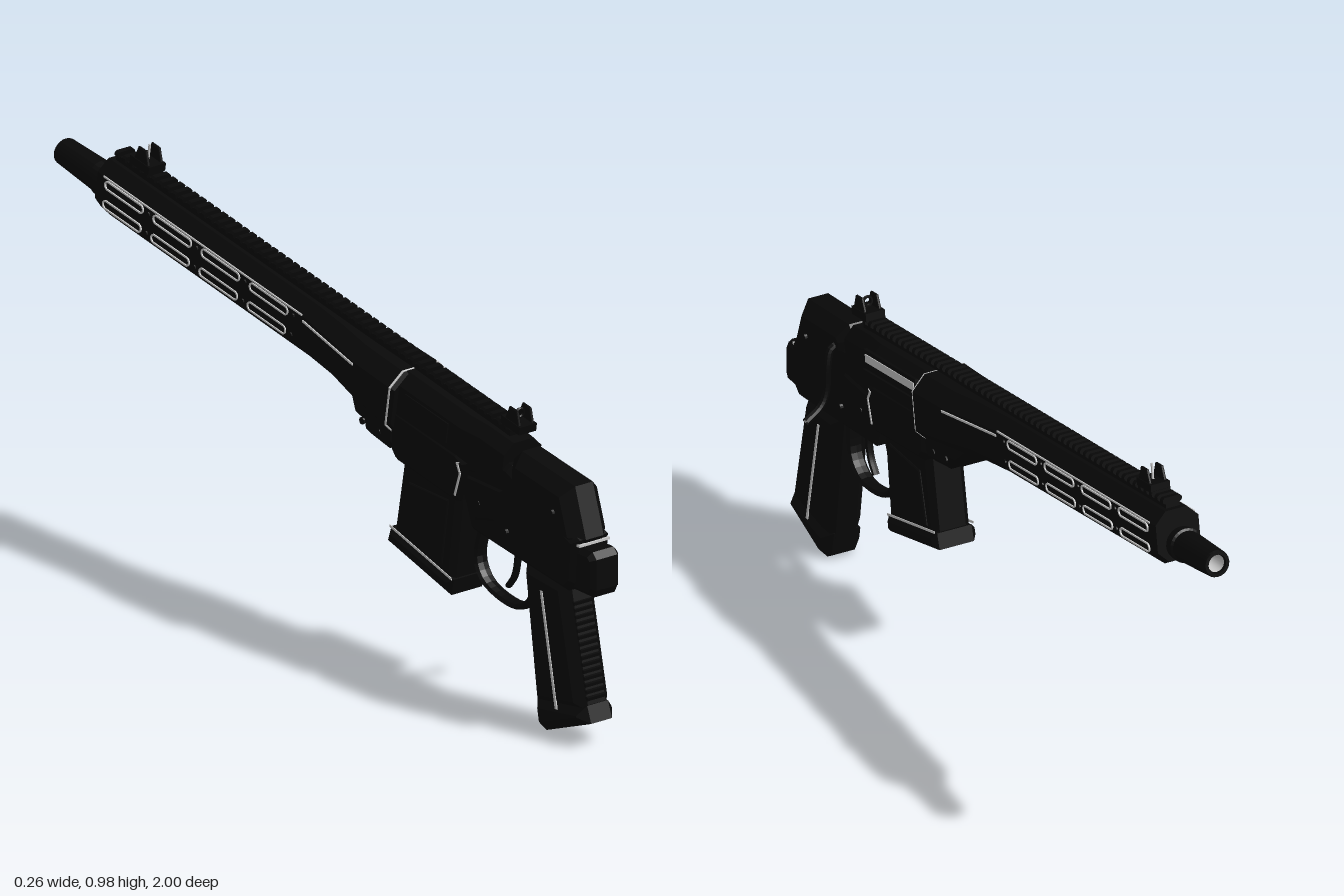
import * as THREE from 'three';

const black = new THREE.MeshStandardMaterial({ color: 0x080808, flatShading: true, side: THREE.DoubleSide });
const grey = new THREE.MeshStandardMaterial({ color: 0xcccccc, side: THREE.DoubleSide });

function add(parent, name, geo, mat = black) {
  const m = new THREE.Mesh(geo, mat);
  m.name = name;
  parent.add(m);
  return m;
}

function box(parent, name, [w, h, d], [x, y, z], mat = black) {
  const m = add(parent, name, new THREE.BoxGeometry(w, h, d), mat);
  m.position.set(x, y, z);
  return m;
}

// side outline given as [z, y], extruded across x with chamfered edges
function slab(parent, name, pts, width, bevel = 0.02, x = 0, mat = black) {
  const shape = new THREE.Shape(pts.map(p => new THREE.Vector2(...p)));
  const geo = new THREE.ExtrudeGeometry(shape, {
    depth: width - 2 * bevel, bevelEnabled: bevel > 0, bevelThickness: bevel,
    bevelSize: bevel, bevelOffset: -bevel, bevelSegments: 1,
  });
  geo.translate(0, 0, -(width - 2 * bevel) / 2).rotateY(-Math.PI / 2).translate(x, 0, 0);
  return add(parent, name, geo, mat);
}

// eight-sided sections [z, halfWidth, top, bottom, chamfer], joined in order of z
function loft(parent, name, sections, mat = black) {
  const pos = [], idx = [], n = 8, last = (sections.length - 1) * n;
  for (const [z, w, t, b, c] of sections) {
    const i = w - c;
    for (const [x, y] of [[w, b + c], [w, t - c], [i, t], [-i, t], [-w, t - c], [-w, b + c], [-i, b], [i, b]])
      pos.push(x, y, z);
  }
  for (let s = 0; s < last; s += n)
    for (let j = 0; j < n; j++) {
      const a = s + j, b = s + (j + 1) % n;
      idx.push(a, b, b + n, a, b + n, a + n);
    }
  for (let j = 1; j < n - 1; j++) idx.push(0, j + 1, j, last, last + j, last + j + 1);
  const geo = new THREE.BufferGeometry();
  geo.setAttribute('position', new THREE.Float32BufferAttribute(pos, 3));
  geo.setIndex(idx);
  const flat = geo.toNonIndexed();
  flat.computeVertexNormals();
  return add(parent, name, flat, mat);
}

function tube(parent, name, pts, r, mat = black) {
  const curve = new THREE.CatmullRomCurve3(pts.map(p => new THREE.Vector3(...p)), false, 'centripetal');
  return add(parent, name, new THREE.TubeGeometry(curve, 24, r, 8), mat);
}

// rounded slot rim lying in the z-y plane
function slotRim(len, h) {
  const outline = (S, l, r) => {
    const s = new S();
    s.absarc(l / 2 - r, 0, r, -Math.PI / 2, Math.PI / 2, false);
    s.absarc(-l / 2 + r, 0, r, Math.PI / 2, Math.PI * 1.5, false);
    s.closePath();
    return s;
  };
  const s = outline(THREE.Shape, len, h / 2);
  s.holes.push(outline(THREE.Path, len - 0.008, h / 2 - 0.004));
  return new THREE.ExtrudeGeometry(s, { depth: 0.004, bevelEnabled: false, curveSegments: 6 })
    .translate(0, 0, -0.002).rotateY(-Math.PI / 2);
}

export function createModel() {
  const root = new THREE.Group();
  root.name = 'model';

  // slight turn to one side for the whole body
  const body = new THREE.Group();
  body.name = 'body';
  body.position.x = -0.045;
  body.rotation.y = 0.0346;
  root.add(body);

  // raised axis that carries barrel, handguard and upper receiver
  const axis = new THREE.Group();
  axis.name = 'barrelAssembly';
  axis.position.y = 0.705;
  axis.rotation.x = 0.163;
  body.add(axis);

  // lower receiver, rear cap and magazine well
  slab(body, 'lowerReceiver', [[0.95, 0.51], [0.94, 0.40], [0.91, 0.375], [0.75, 0.395], [0.56, 0.42], [0.53, 0.50],
    [0.30, 0.52], [0.29, 0.66], [0.70, 0.62]], 0.11, 0.015);
  slab(body, 'rearCap', [[0.955, 0.51], [0.915, 0.63], [0.72, 0.658], [0.69, 0.63], [0.69, 0.50], [0.94, 0.48]], 0.112, 0.03);
  slab(body, 'magazineWell', [[0.57, 0.59], [0.535, 0.485], [0.51, 0.48], [0.30, 0.515], [0.28, 0.54], [0.28, 0.65], [0.53, 0.61]], 0.14, 0.015);
  slab(body, 'receiverStep', [[0.69, 0.56], [0.66, 0.47], [0.58, 0.45], [0.55, 0.56]], 0.122, 0.01);

  // rear latch stub
  slab(body, 'rearStub', [[0.99, 0.38], [1.0, 0.40], [1.0, 0.475], [0.985, 0.49], [0.92, 0.49], [0.92, 0.38]], 0.085, 0.012);
  for (const y of [0.405, 0.435, 0.465]) box(body, 'stubRib', [0.045, 0.012, 0.008], [0.01, y, 0.996]);
  box(body, 'stubEdge', [0.09, 0.006, 0.03], [0, 0.498, 0.94], grey);

  // pistol grip with ribbed back and pale edges
  slab(body, 'grip', [[0.90, 0.39], [0.74, 0.40], [0.785, 0.06], [0.965, 0.09]], 0.1, 0.024);
  slab(body, 'gripBase', [[0.965, 0.105], [0.98, 0.065], [0.815, 0.0], [0.795, 0.012], [0.783, 0.075]], 0.105, 0.022);
  for (let i = 0; i < 15; i++) {
    const t = i / 14;
    box(body, 'gripRib', [0.056, 0.008, 0.012], [0, 0.34 - 0.22 * t, 0.908 + 0.05 * t]).rotation.x = 0.2;
  }
  for (const s of [-1, 1])
    slab(body, 'gripSideStrip', [[0.825, 0.35], [0.817, 0.35], [0.872, 0.075], [0.88, 0.075]], 0.003, 0, s * 0.0505, grey);

  // trigger guard and trigger
  tube(body, 'triggerGuard', [[0, 0.40, 0.745], [0, 0.30, 0.735], [0, 0.265, 0.70], [0, 0.258, 0.65], [0, 0.285, 0.56],
    [0, 0.33, 0.533], [0, 0.38, 0.54], [0, 0.43, 0.56]], 0.009).scale.x = 2.2;
  tube(body, 'trigger', [[0, 0.43, 0.675], [0, 0.36, 0.67], [0, 0.325, 0.66], [0, 0.295, 0.638]], 0.007).scale.x = 1.4;

  // magazine
  slab(body, 'magazine', [[0.52, 0.52], [0.485, 0.255], [0.265, 0.315], [0.305, 0.53]], 0.098, 0.015);
  slab(body, 'magazineBase', [[0.492, 0.275], [0.483, 0.235], [0.25, 0.30], [0.262, 0.338]], 0.114, 0.012);
  for (const s of [-1, 1]) {
    slab(body, 'magazinePanel', [[0.48, 0.47], [0.455, 0.30], [0.30, 0.34], [0.335, 0.47]], 0.008, 0.003, s * 0.05);
    slab(body, 'magazineEdge', [[0.49, 0.281], [0.491, 0.275], [0.264, 0.338], [0.264, 0.344]], 0.002, 0, s * 0.051, grey);
    slab(body, 'wellEdge', [[0.545, 0.588], [0.54, 0.582], [0.55, 0.56], [0.53, 0.50], [0.525, 0.503], [0.544, 0.56], [0.532, 0.584]], 0.002, 0, s * 0.0712, grey);
    // pins through the receiver
    for (const [z, y] of [[0.60, 0.50], [0.70, 0.46], [0.87, 0.56]]) {
      const pin = add(body, 'pin', new THREE.CylinderGeometry(0.008, 0.008, 0.126, 10), black);
      pin.rotation.z = Math.PI / 2;
      pin.position.set(0, y, z);
    }
  }

  // bent bolt handle on the left side
  tube(root, 'boltHandle', [[0.02, 0.605, 0.735], [0.045, 0.595, 0.735], [0.055, 0.56, 0.73], [0.062, 0.49, 0.725],
    [0.078, 0.46, 0.72], [0.122, 0.435, 0.708]], 0.0095);

  // upper receiver with ejection port
  loft(axis, 'upperReceiver', [[0.29, 0.068, 0.082, -0.09, 0.028], [0.54, 0.066, 0.08, -0.075, 0.028],
    [0.60, 0.057, 0.08, -0.06, 0.026], [0.69, 0.055, 0.078, -0.05, 0.026]]);
  box(axis, 'ejectionPort', [0.008, 0.048, 0.25], [0.064, 0.042, 0.445]);
  box(axis, 'boltCarrier', [0.006, 0.02, 0.235], [0.067, 0.046, 0.445], grey);
  box(axis, 'portCover', [0.012, 0.012, 0.25], [0.068, 0.012, 0.445]);
  box(axis, 'sidePlate', [0.006, 0.05, 0.16], [-0.067, 0.02, 0.42]);

  // handguard with a wider, deeper rear
  loft(axis, 'handguard', [[-0.825, 0.056, 0.08, -0.045, 0.028], [-0.80, 0.058, 0.08, -0.056, 0.03],
    [-0.05, 0.059, 0.08, -0.058, 0.03], [0.06, 0.068, 0.08, -0.06, 0.032], [0.16, 0.083, 0.08, -0.07, 0.035],
    [0.30, 0.087, 0.082, -0.085, 0.035], [0.315, 0.08, 0.078, -0.08, 0.035]]);
  loft(axis, 'handguardLip', [[0.12, 0.045, -0.03, -0.065, 0.014], [0.165, 0.06, -0.03, -0.108, 0.02],
    [0.20, 0.06, -0.03, -0.112, 0.02], [0.215, 0.066, -0.03, -0.128, 0.02], [0.285, 0.068, -0.03, -0.13, 0.02],
    [0.30, 0.064, -0.03, -0.12, 0.02]]);
  loft(axis, 'handguardRearEdge', [[0.301, 0.0875, 0.083, -0.086, 0.035], [0.305, 0.0865, 0.082, -0.085, 0.035]], grey);
  for (const s of [-1, 1]) {
    for (const v of [0.036, -0.014])
      for (let i = 0; i < 4; i++) {
        const z = -0.72 + i * 0.18;
        box(axis, 'slotFloor', [0.003, 0.014, 0.125], [s * 0.058, v, z]);
        add(axis, 'slotRim', slotRim(0.145, 0.024), grey).position.set(s * 0.0595, v, z);
        const screw = add(axis, 'screw', new THREE.CylinderGeometry(0.006, 0.006, 0.004, 8));
        screw.rotation.z = Math.PI / 2;
        screw.position.set(s * 0.06, v, z + 0.09);
      }
    box(axis, 'handguardEdge', [0.003, 0.004, 0.74], [s * 0.0585, 0.052, -0.43], grey);
    const flare = box(axis, 'flareEdge', [0.003, 0.005, 0.22], [s * 0.0725, 0.04, 0.055], grey);
    flare.rotation.y = s * 0.115;
    for (const z of [0.2, 0.26]) {
      const bolt = add(axis, 'lipBolt', new THREE.CylinderGeometry(0.009, 0.009, 0.004, 10));
      bolt.rotation.z = Math.PI / 2;
      bolt.position.set(s * 0.067, -0.095, z);
    }
  }

  // toothed top rail
  box(axis, 'railBase', [0.036, 0.016, 1.47], [0, 0.086, -0.075]);
  for (let i = 0; i < 55; i++)
    loft(axis, 'railTooth', [[-0.81 + i * 0.0268, 0.025, 0.106, 0.09, 0.005], [-0.797 + i * 0.0268, 0.025, 0.106, 0.09, 0.005]]);

  // rear and front sights
  for (const [name, z, post] of [['rearSight', 0.665, false], ['frontSight', -0.72, true]]) {
    const g = new THREE.Group();
    g.name = name;
    g.position.set(0, 0.106, z);
    axis.add(g);
    box(g, 'sightBase', [0.05, 0.02, 0.07], [0, 0.006, 0]);
    for (const s of [-1, 1])
      slab(g, 'sightEar', [[0.03, 0.01], [0.014, 0.048], [-0.014, 0.048], [-0.025, 0.01]], 0.008, 0.002, s * 0.019);
    if (post) box(g, 'sightPost', [0.004, 0.045, 0.005], [0, 0.032, 0], grey);
    else {
      const ring = add(g, 'sightRing', new THREE.TorusGeometry(0.011, 0.004, 6, 16));
      ring.position.y = 0.032;
    }
  }

  // barrel end and hollow muzzle
  const muzzle = [[0.026, 0.78], [0.026, 0.835], [0.04, 0.838], [0.042, 0.862], [0.037, 0.866], [0.038, 0.88],
    [0.033, 1.008], [0.031, 1.013], [0.023, 1.013], [0.021, 1.006]].map(p => new THREE.Vector2(...p));
  add(axis, 'muzzle', new THREE.LatheGeometry(muzzle, 24).rotateX(-Math.PI / 2));
  const bore = [[0.021, 1.006], [0.018, 0.95], [0.0, 0.95]].map(p => new THREE.Vector2(...p));
  add(axis, 'bore', new THREE.LatheGeometry(bore, 24).rotateX(-Math.PI / 2), grey);

  return root;
}
